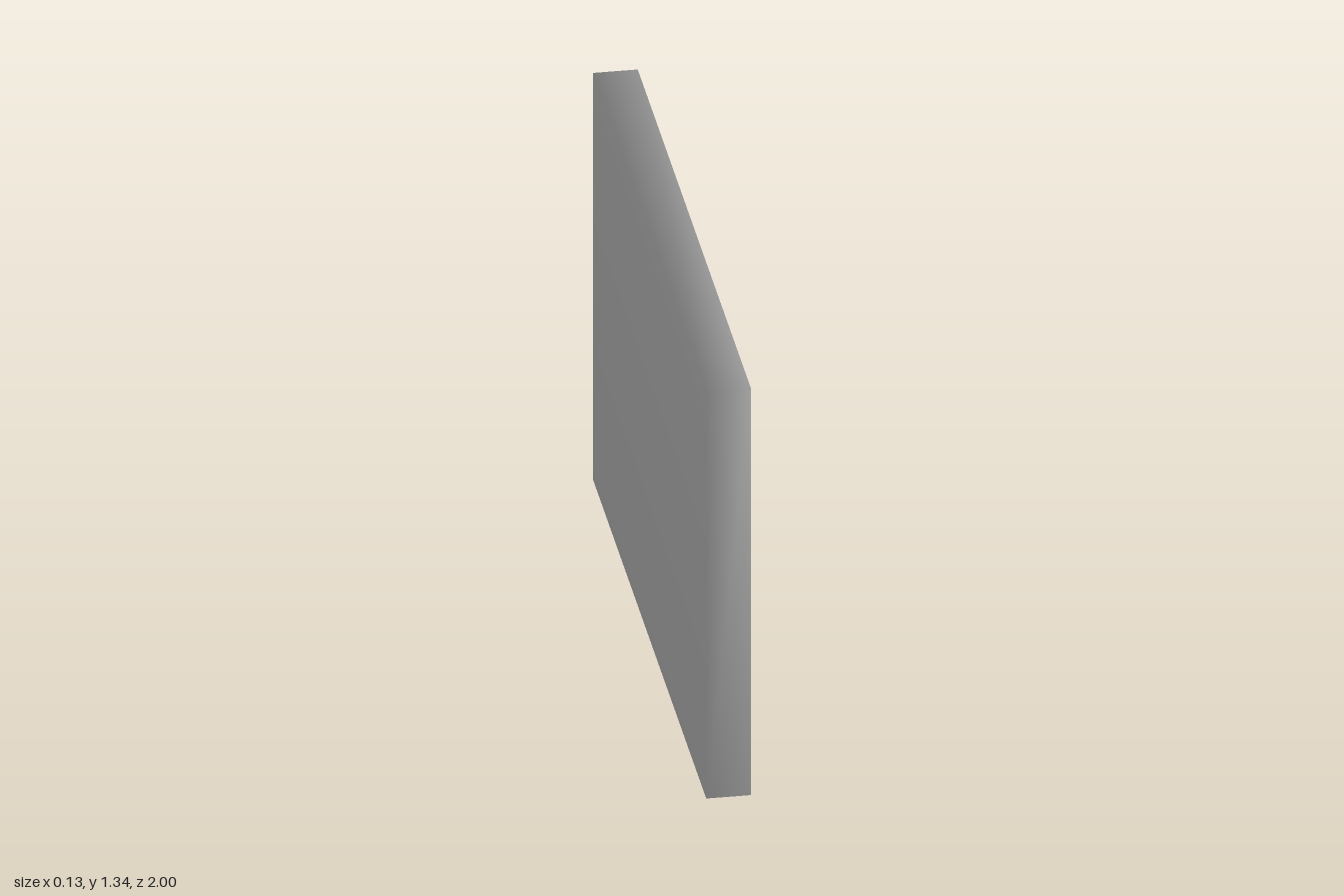
import * as THREE from 'three';
import { mergeVertices } from 'three/addons/utils/BufferGeometryUtils.js';

const H = 1.335, X = 0.066;          // panel height, half thickness
const W = 0.796, INNER = 0.013;      // louvre half width, depth of the pockets
const ROWS = 9, PITCH = 0.1213, FIRST = 0.217;
const LOW = -0.07, GAP = 0.012;      // slat foot and half gap, relative to the row

const grey = new THREE.MeshStandardMaterial({ color: 0xcccccc });
const greyThin = new THREE.MeshStandardMaterial({ color: 0xcccccc, side: THREE.DoubleSide });
const black = new THREE.MeshStandardMaterial({ color: 0x050505, side: THREE.DoubleSide });

// Shade a surface softly, as one with the front sheet
function faceOut(geo) {
  const n = geo.attributes.normal;
  for (let i = 0; i < n.count; i++) n.setXYZ(i, 1, 0, 0);
  return geo;
}

// Sheet swept along z from an upward profile of [x, y] points
function sheet(profile) {
  const pos = [], idx = [];
  profile.forEach(([x, y], i) => {
    pos.push(x, y, W, x, y, -W);
    const a = 2 * i;
    if (i < profile.length - 1) idx.push(a, a + 1, a + 3, a, a + 3, a + 2);
  });
  const geo = new THREE.BufferGeometry();
  geo.setAttribute('position', new THREE.Float32BufferAttribute(pos, 3));
  geo.setIndex(idx);
  geo.computeVertexNormals();
  return geo;
}

function rectangle(Type, w, y0, y1) {
  return new Type([[-w, y0], [w, y0], [w, y1], [-w, y1]].map(p => new THREE.Vector2(...p)));
}

export function createModel() {
  const group = new THREE.Group();
  const add = (name, geo, mat, parent = group) => {
    const mesh = new THREE.Mesh(geo, mat);
    mesh.name = name;
    parent.add(mesh);
    return mesh;
  };

  // Casing: smooth-shaded box, open on the louvred side
  let box = new THREE.BoxGeometry(2 * X, H, 2).translate(0, H / 2, 0);
  box.deleteAttribute('normal');
  box.deleteAttribute('uv');
  box.clearGroups();
  box = mergeVertices(box);
  box.computeVertexNormals();
  box.setIndex(Array.from(box.index.array).slice(6));
  add('casing', box, grey);

  // Louvred sheet with one slot per row
  const face = rectangle(THREE.Shape, 1, 0, H);
  for (let i = 0; i < ROWS; i++) {
    const y = FIRST + i * PITCH;
    face.holes.push(rectangle(THREE.Path, W, y + LOW, y + GAP));
  }
  add('louvreSheet', new THREE.ShapeGeometry(face).rotateY(Math.PI / 2).translate(X, 0, 0), greyThin);

  // Pocket parts shared by all rows: sloping slat, dark throat, end walls
  const slat = faceOut(sheet([[X, LOW], [INNER, -GAP]]));
  const throat = sheet([[INNER, -GAP], [INNER, GAP], [X, GAP]]);
  const end = faceOut(new THREE.ShapeGeometry(new THREE.Shape(
    [[X, LOW], [X, GAP], [INNER, GAP], [INNER, -GAP]].map(p => new THREE.Vector2(...p))
  )).translate(0, 0, -W));

  for (let i = 0; i < ROWS; i++) {
    const row = new THREE.Group();
    row.name = 'louvre';
    row.position.y = FIRST + i * PITCH;
    add('slat', slat, greyThin, row);
    add('throat', throat, black, row);
    add('endWall', end, greyThin, row);
    add('endWall', end, greyThin, row).scale.z = -1;
    group.add(row);
  }
  return group;
}
